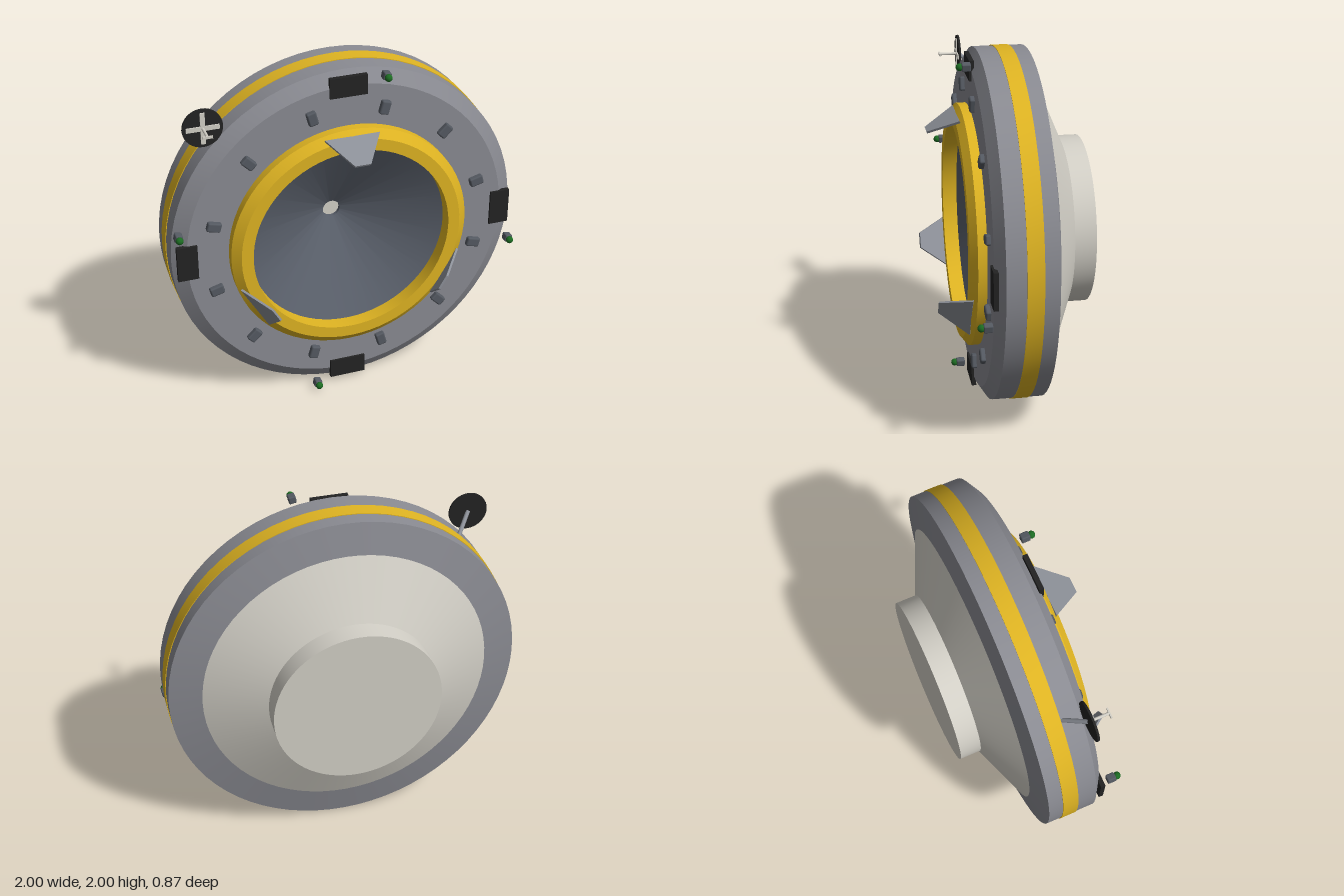
import * as THREE from 'three';
import { toCreasedNormals } from 'three/addons/utils/BufferGeometryUtils.js';
import { RoundedBoxGeometry } from 'three/addons/geometries/RoundedBoxGeometry.js';

function material(name, color) {
  const m = new THREE.MeshStandardMaterial({ color });
  m.name = name;
  return m;
}

export function createModel() {
  const grey = material('hull grey', 0x8a8b92);
  const yellow = material('yellow', 0xdfb422);
  const beige = material('warm white', 0xd3d0c7);
  const slate = material('slate', 0x5a606b);
  const bolt = material('bolt grey', 0x555a62);
  const black = material('black', 0x232323);
  const green = material('lamp green', 0x1c6b22);
  const petalGrey = material('petal grey', 0x8c9098);

  const model = new THREE.Group();
  model.name = 'dockingPort';
  const port = new THREE.Group();
  port.name = 'port';
  port.position.y = 1;
  model.add(port);

  function add(name, geometry, mat, x = 0, y = 0, z = 0, parent = port) {
    const mesh = new THREE.Mesh(geometry, mat);
    mesh.name = name;
    mesh.position.set(x, y, z);
    parent.add(mesh);
    return mesh;
  }

  // Turned part: profile of [radius, z], spun about the z axis
  function turned(name, profile, mat) {
    const g = new THREE.LatheGeometry(profile.map(([r, z]) => new THREE.Vector2(r, z)), 72);
    g.rotateX(Math.PI / 2);
    return add(name, toCreasedNormals(g, 0.4), mat);
  }

  // Group turned about the z axis; its local +y points outwards
  function spoke(name, degrees) {
    const g = new THREE.Group();
    g.name = name;
    g.rotation.z = THREE.MathUtils.degToRad(degrees - 90);
    port.add(g);
    return g;
  }

  // Main turned parts
  turned('rearAdapter', [[0, -0.435], [0.475, -0.435], [0.475, -0.315], [0.815, -0.172]], beige);
  turned('hullRing', [[0.815, -0.172], [0.996, -0.135], [0.996, 0.145], [0.92, 0.195], [0.6, 0.195]], grey);
  turned('rimBand', [[0.99, -0.053], [1, -0.053], [1, 0.037], [0.99, 0.037]], yellow);
  turned('collar', [[0.685, 0.18], [0.685, 0.245], [0.637, 0.283], [0.57, 0.283], [0.57, 0.2]], yellow);
  turned('receivingCone', [[0.57, 0.2], [0.05, -0.09], [0.05, -0.11]], slate);
  turned('coneSocket', [[0.05, -0.11], [0, -0.11]], beige);

  // Guide petals leaning inwards over the collar
  const shape = new THREE.Shape([[-0.155, 0], [0.155, 0], [0.045, 0.19], [-0.045, 0.19]]
    .map(([x, y]) => new THREE.Vector2(x, y)));
  const petalGeometry = new THREE.ExtrudeGeometry(shape, { depth: 0.012, bevelEnabled: false });
  petalGeometry.translate(0, 0, -0.006);
  petalGeometry.rotateX(Math.atan2(0.17, -0.085));
  for (const a of [90, 210, 330]) {
    add('guidePetal', petalGeometry, petalGrey, 0, 0.65, 0.265, spoke('petalMount', a));
  }

  // Latch blocks around the front face
  const latchGeometry = new RoundedBoxGeometry(0.055, 0.08, 0.045, 1, 0.01);
  for (let i = 0; i < 12; i++) {
    add('latch', latchGeometry, bolt, 0, 0.79, 0.2, spoke('latchMount', 15 + i * 30));
  }

  // Black pads and green lamps, one of each per quarter
  const padGeometry = new THREE.BoxGeometry(0.21, 0.115, 0.026);
  const lampBase = new RoundedBoxGeometry(0.042, 0.042, 0.05, 1, 0.007);
  const lampGlass = new THREE.SphereGeometry(0.021, 12, 8);
  for (let i = 0; i < 4; i++) {
    add('pad', padGeometry, black, 0, 0.917, 0.194, spoke('padMount', i * 90));
    const lamp = spoke('lamp', 78.5 + i * 90);
    add('lampBase', lampBase, bolt, 0, 0.987, 0.235, lamp);
    add('lampGlass', lampGlass, green, 0, 0.987, 0.27, lamp);
  }

  // Dish antenna on an arm beside the rim
  const antenna = new THREE.Group();
  antenna.name = 'antenna';
  antenna.position.set(-0.785, 0.785, 0.155);
  port.add(antenna);
  const disc = new THREE.CylinderGeometry(0.11, 0.11, 0.012, 32);
  disc.rotateX(Math.PI / 2);
  add('dish', disc, black, 0, 0, 0, antenna);
  add('crossBar', new THREE.BoxGeometry(0.18, 0.026, 0.008), beige, 0, 0, 0.009, antenna);
  add('crossPost', new THREE.BoxGeometry(0.026, 0.18, 0.008), beige, 0, 0, 0.009, antenna);
  const feed = new THREE.CylinderGeometry(0.008, 0.008, 0.11, 10);
  feed.rotateX(Math.PI / 2);
  add('feedRod', feed, beige, 0, 0, 0.055, antenna);
  add('feedTip', new THREE.BoxGeometry(0.056, 0.014, 0.008), beige, 0, 0, 0.11, antenna);
  const armPath = new THREE.LineCurve3(new THREE.Vector3(0.09, -0.09, -0.115), new THREE.Vector3(0, 0, -0.004));
  add('arm', new THREE.TubeGeometry(armPath, 1, 0.012, 10), petalGrey, 0, 0, 0, antenna);

  return model;
}
